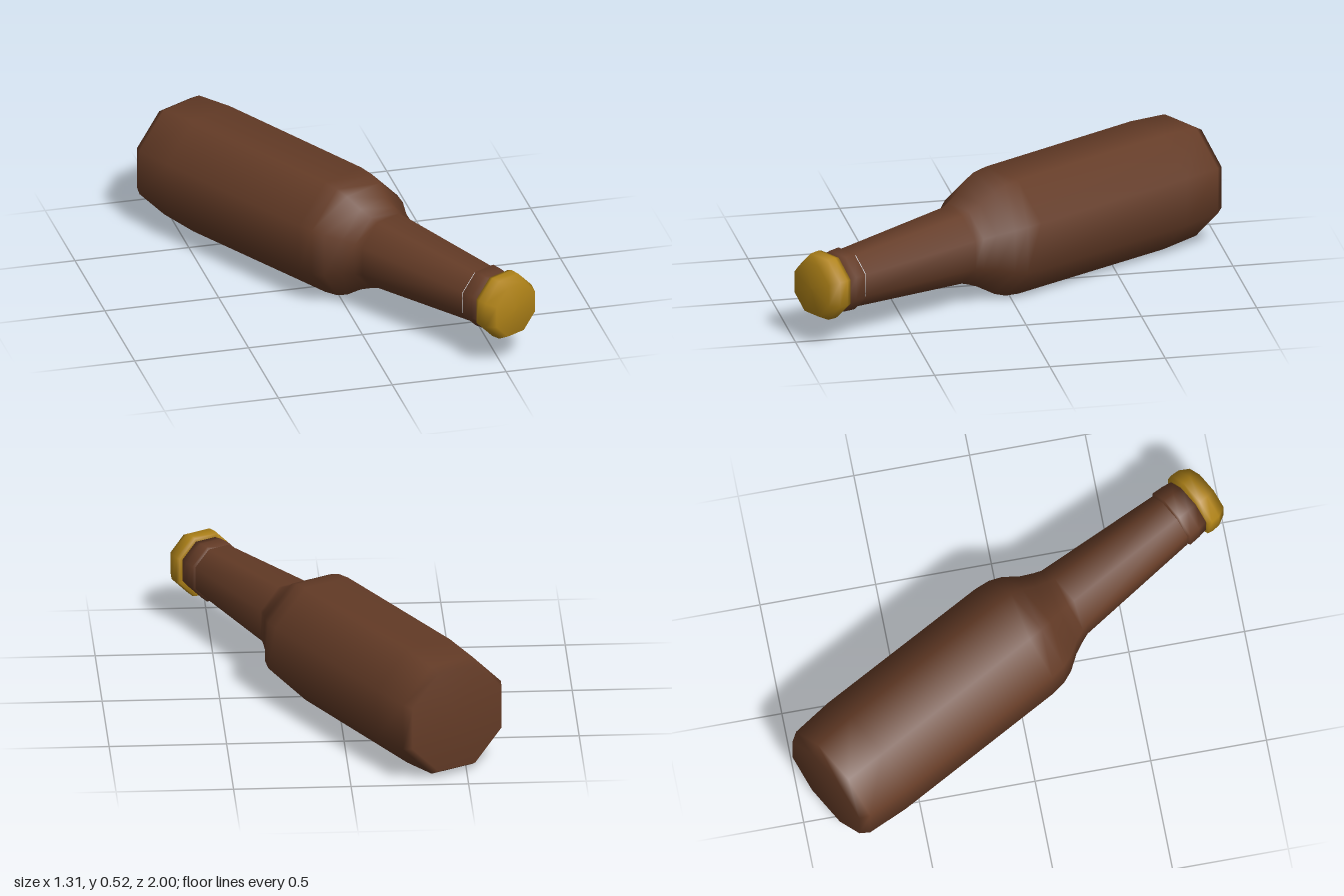
import * as THREE from 'three';

const SIDES = 8;

// Eight-sided turned part; profile rows are [radius, distance along the axis]
function turned(name, profile, color) {
  const points = profile.map(([r, t]) => new THREE.Vector2(r, t));
  const geometry = new THREE.LatheGeometry(points, SIDES, Math.PI / SIDES);
  geometry.rotateX(Math.PI / 2); // lay the axis along +z
  const mesh = new THREE.Mesh(geometry, new THREE.MeshStandardMaterial({ color }));
  mesh.name = name;
  return mesh;
}

export function createModel() {
  const bottle = new THREE.Group();
  bottle.name = 'bottle';

  // Glass: base, straight body, rounded shoulder, tapering neck and lip band
  bottle.add(turned('glassBody', [
    [0, -1.005], [0.242, -1.005], [0.267, -0.965], [0.281, -0.78],
    [0.279, 0.03], [0.271, 0.1], [0.25, 0.155], [0.205, 0.22],
    [0.18, 0.275], [0.167, 0.31], [0.127, 0.89],
  ], 0x653c27));
  bottle.add(turned('lipBand', [
    [0.12, 0.89], [0.136, 0.9], [0.133, 0.95], [0.125, 1.0], [0, 1.02],
  ], 0x653c27));

  // Crown cap with a skirt and a chamfered top
  bottle.add(turned('cap', [
    [0.118, 0.995], [0.143, 0.99], [0.148, 1.01], [0.146, 1.05], [0.122, 1.094], [0, 1.096],
  ], 0xb08318));

  // Lying on its side, turned towards the front left
  bottle.rotation.y = THREE.MathUtils.degToRad(28.9);
  bottle.position.set(0.029, 0.262, -0.016);

  const model = new THREE.Group();
  model.name = 'lyingBottle';
  model.add(bottle);
  return model;
}
